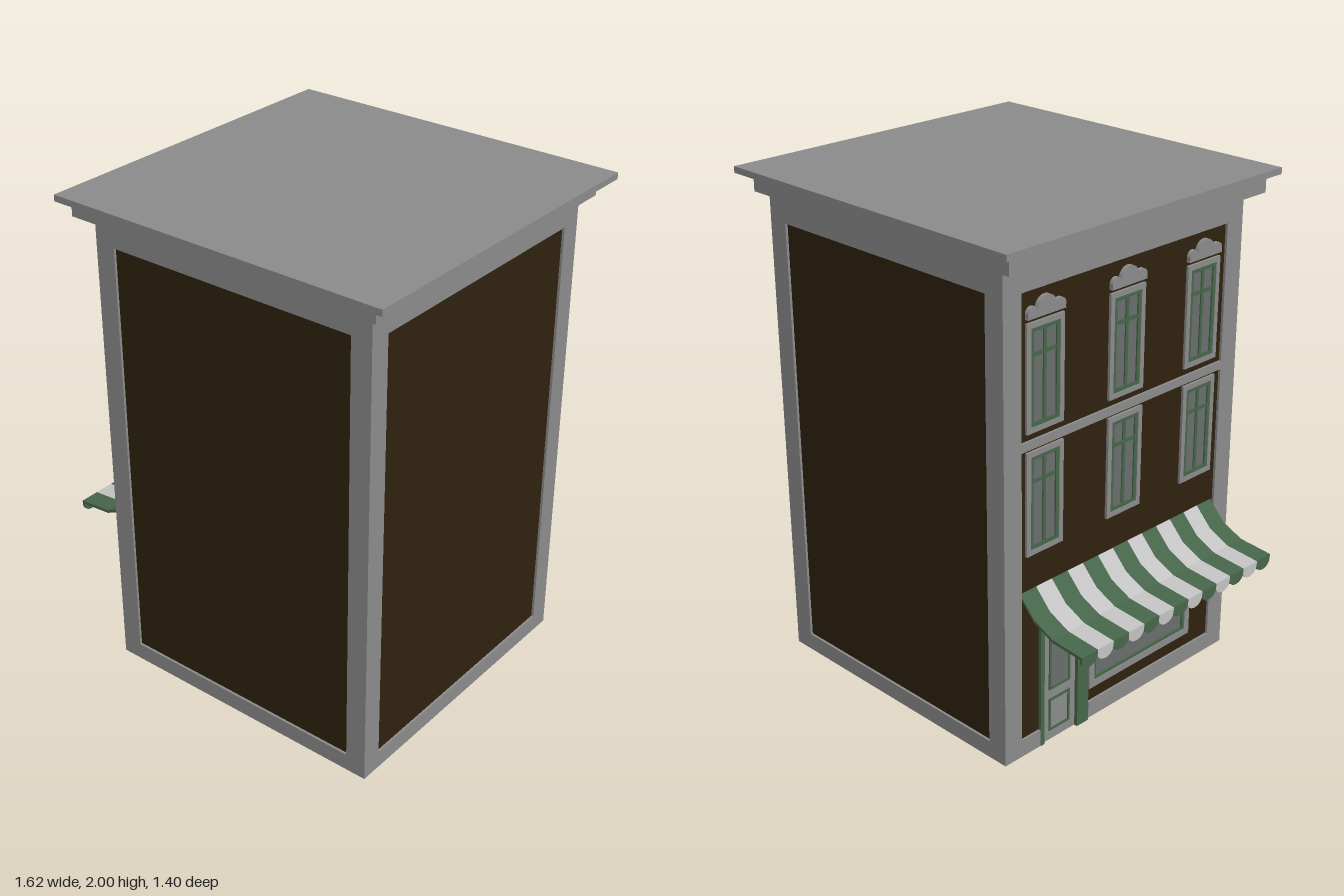
import * as THREE from 'three';

const mat = (name, color, side = THREE.FrontSide) => {
  const m = new THREE.MeshStandardMaterial({ color, side });
  m.name = name;
  return m;
};

export function createModel() {
  const stone = mat('stone grey', 0x8a8a8a);
  const brick = mat('dark brown wall', 0x2f210f);
  const green = mat('green', 0x46654a);
  const white = mat('awning white', 0xc2c2c2);
  const glass = mat('window glass', 0x686e6c);
  const model = new THREE.Group();
  model.name = 'shopBuilding';

  const add = (parent, name, geo, m) => {
    const mesh = new THREE.Mesh(geo, m);
    mesh.name = name;
    parent.add(mesh);
    return mesh;
  };
  const group = (name) => {
    const g = new THREE.Group();
    g.name = name;
    model.add(g);
    return g;
  };
  // Box given by its limits on each axis
  const box = (parent, name, m, x0, x1, y0, y1, z0, z1) => {
    const b = add(parent, name, new THREE.BoxGeometry(x1 - x0, y1 - y0, z1 - z0), m);
    b.position.set((x0 + x1) / 2, (y0 + y1) / 2, (z0 + z1) / 2);
    return b;
  };

  const X0 = -0.52, X1 = 0.70, Z0 = -0.63, Z1 = 0.60, P = 0.085, IN = 0.01;
  const WALL = X0 + IN; // outer face of the shop front wall

  // Walls, floor plate and stone framework
  box(model, 'walls', brick, X0 + IN, X1 - IN, 0.002, 1.9, Z0 + IN, Z1 - IN);
  box(model, 'floor', stone, X0 + P, X1 - P, 0, 0.01, Z0 + P, Z1 - P);
  const frame = group('stoneFrame');
  for (const [a, b] of [[X0, X0 + P], [X1 - P, X1]])
    for (const [c, d] of [[Z0, Z0 + P], [Z1 - P, Z1]])
      box(frame, 'cornerPillar', stone, a, b, 0, 1.82, c, d);
  box(frame, 'topBeam', stone, X0, X1, 1.81, 1.915, Z0, Z1);
  for (const [c, d] of [[Z0, Z0 + IN], [Z1 - IN, Z1]])
    box(frame, 'baseBeam', stone, X0 + P, X1 - P, 0, 0.07, c, d);
  box(frame, 'baseBeam', stone, X1 - IN, X1, 0, 0.07, Z0 + P, Z1 - P);
  // Shop side base is broken by the doorway
  box(frame, 'baseBeam', stone, X0, WALL, 0, 0.07, Z0 + P, -0.45);
  box(frame, 'baseBeam', stone, X0, WALL, 0, 0.07, -0.19, Z1 - P);

  // Stepped cornice and flat roof
  box(model, 'cornice', stone, -0.58, 0.75, 1.91, 1.976, -0.66, 0.65);
  box(model, 'roofSlab', stone, -0.61, 0.81, 1.975, 2, -0.70, 0.70);

  // Plate on the shop front, raised by t from the wall
  const plate = (parent, name, m, z0, z1, y0, y1, t) =>
    box(parent, name, m, WALL - t, WALL + 0.004, y0, y1, z0, z1);
  // Hollow rectangular surround of bar width w
  const surround = (parent, name, m, z0, z1, y0, y1, w, t) => {
    plate(parent, name, m, z0, z0 + w, y0, y1, t);
    plate(parent, name, m, z1 - w, z1, y0, y1, t);
    plate(parent, name, m, z0 + w, z1 - w, y0, y0 + w, t);
    plate(parent, name, m, z0 + w, z1 - w, y1 - w, y1, t);
  };

  plate(model, 'floorBand', stone, Z0 + P, Z1 - P, 1.235, 1.268, 0.01);

  // Crest with a raised centre and rounded ends
  const crest = new THREE.Shape();
  crest.moveTo(-0.09, 0);
  crest.lineTo(0.09, 0);
  crest.absarc(0.065, 0.018, 0.025, -0.3, Math.PI * 0.75, false);
  crest.absarc(0, 0.025, 0.045, 0.1, Math.PI - 0.1, false);
  crest.absarc(-0.065, 0.018, 0.025, Math.PI * 0.25, Math.PI + 0.3, false);
  crest.closePath();
  const crestGeo = new THREE.ExtrudeGeometry(crest, { depth: 0.016, bevelEnabled: false, curveSegments: 8 });
  crestGeo.rotateY(-Math.PI / 2);

  // Two rows of three upper windows
  for (const y of [0.825, 1.295])
    for (const z of [-0.43, -0.02, 0.39]) {
      const w = group('upperWindow');
      const h = 0.4, r = 0.09;
      plate(w, 'pane', glass, z - r, z + r, y, y + h, 0.002);
      surround(w, 'stoneSurround', stone, z - r, z + r, y, y + h, 0.02, 0.011);
      surround(w, 'greenSash', green, z - r + 0.02, z + r - 0.02, y + 0.02, y + h - 0.02, 0.015, 0.008);
      plate(w, 'mullion', green, z - 0.007, z + 0.007, y + 0.03, y + h - 0.03, 0.007);
      plate(w, 'transom', green, z - 0.06, z + 0.06, y + 0.275, y + 0.29, 0.006);
      if (y > 1) {
        const c = add(w, 'crest', crestGeo, stone);
        c.position.set(WALL, 1.71, z);
      }
    }

  // Door with green posts
  const door = group('door');
  plate(door, 'doorLeaf', stone, -0.43, -0.26, 0, 0.5, 0.003);
  surround(door, 'doorPanel', green, -0.40, -0.29, 0.04, 0.18, 0.01, 0.007);
  plate(door, 'doorGlass', glass, -0.40, -0.29, 0.22, 0.47, 0.005);
  surround(door, 'doorGlassTrim', green, -0.40, -0.29, 0.22, 0.47, 0.01, 0.008);
  plate(door, 'doorPost', green, -0.45, -0.43, 0, 0.52, 0.012);
  plate(door, 'doorPost', green, -0.26, -0.20, 0, 0.52, 0.018);
  plate(door, 'doorHead', green, -0.43, -0.26, 0.5, 0.52, 0.012);

  // Display window
  const shop = group('shopWindow');
  plate(shop, 'pane', glass, -0.18, 0.385, 0.13, 0.52, 0.002);
  surround(shop, 'outerFrame', stone, -0.19, 0.39, 0.13, 0.53, 0.028, 0.013);
  surround(shop, 'innerFrame', green, -0.162, 0.362, 0.158, 0.502, 0.012, 0.009);

  // Striped awning: curved sheet with a scalloped valance
  const awning = group('awning');
  const top = [[-0.505, 0.69], [-0.52, 0.673], [-0.58, 0.61], [-0.67, 0.568], [-0.813, 0.556]];
  const profile = new THREE.Shape(
    [...top, ...top.map(([x, y]) => [x, y - 0.012]).reverse()].map(([x, y]) => new THREE.Vector2(x, y)));
  const n = 13, s = 1.05 / n;
  const sheetGeo = new THREE.ExtrudeGeometry(profile, { depth: s, bevelEnabled: false });
  const scallop = new THREE.Shape();
  scallop.moveTo(0, 0.008);
  scallop.lineTo(0, -0.01);
  scallop.absellipse(s / 2, -0.01, s / 2, 0.032, Math.PI, Math.PI * 2, false);
  scallop.lineTo(s, 0.008);
  scallop.closePath();
  const scallopGeo = new THREE.ExtrudeGeometry(scallop, { depth: 0.008, bevelEnabled: false, curveSegments: 8 });
  scallopGeo.rotateY(-Math.PI / 2);
  for (let i = 0; i < n; i++) {
    const m = i % 2 ? white : green, z = -0.545 + i * s;
    add(awning, 'awningStripe', sheetGeo, m).position.z = z;
    add(awning, 'awningScallop', scallopGeo, m).position.set(-0.804, 0.547, z);
  }
  return model;
}
